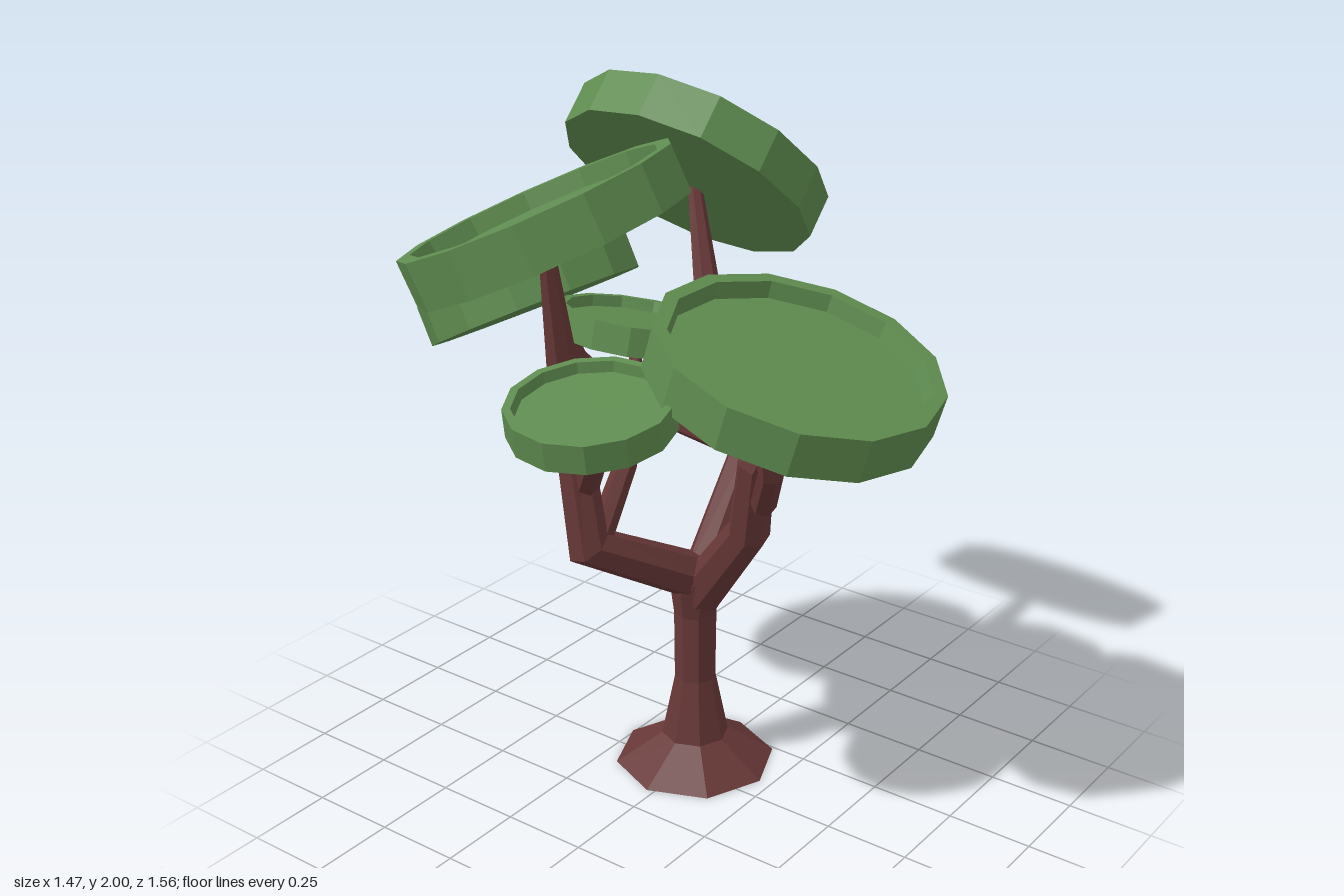
import * as THREE from 'three';

const bark = new THREE.MeshStandardMaterial({ color: 0x673837, flatShading: true });
const leaf = new THREE.MeshStandardMaterial({ color: 0x5f8c50, flatShading: true });

// Faceted limb through stations [x, y, z, radius], capped at both ends
function limb(name, stations, sides) {
  const pts = stations.map(s => new THREE.Vector3(s[0], s[1], s[2]));
  const last = pts.length - 1;
  const up = new THREE.Vector3(0, 1, 0);
  const pos = [], idx = [];
  pts.forEach((p, i) => {
    const dir = new THREE.Vector3();
    if (i > 0) dir.add(p.clone().sub(pts[i - 1]).normalize());
    if (i < last) dir.add(pts[i + 1].clone().sub(p).normalize());
    const turn = new THREE.Quaternion().setFromUnitVectors(up, dir.normalize());
    for (let j = 0; j < sides; j++) {
      const a = (j / sides) * Math.PI * 2;
      const r = stations[i][3];
      const v = new THREE.Vector3(Math.cos(a) * r, 0, Math.sin(a) * r);
      pos.push(...v.applyQuaternion(turn).add(p).toArray());
    }
  });
  pos.push(...pts[0].toArray(), ...pts[last].toArray());
  const foot = pts.length * sides, tip = foot + 1;
  for (let j = 0; j < sides; j++) {
    const k = (j + 1) % sides;
    for (let i = 0; i < last; i++) {
      const a = i * sides + j, b = i * sides + k;
      idx.push(a, a + sides, b, b, a + sides, b + sides);
    }
    idx.push(foot, j, k, tip, last * sides + k, last * sides + j);
  }
  const geo = new THREE.BufferGeometry();
  geo.setAttribute('position', new THREE.Float32BufferAttribute(pos, 3));
  geo.setIndex(idx);
  geo.computeVertexNormals();
  const mesh = new THREE.Mesh(geo, bark);
  mesh.name = name;
  return mesh;
}

// Shallow dish of foliage with a raised rim, tilted to face along the normal
function canopy(name, center, normal, r, thick) {
  const h = thick / 2, rim = r * 0.9;
  const profile = [
    [0, -h], [r, -h], [r, h], [rim, h], [rim * 0.975, h - thick * 0.38], [0, h - thick * 0.38],
  ].map(p => new THREE.Vector2(...p));
  const mesh = new THREE.Mesh(new THREE.LatheGeometry(profile, 13), leaf);
  mesh.name = name;
  mesh.position.set(...center);
  mesh.quaternion.setFromUnitVectors(new THREE.Vector3(0, 1, 0), new THREE.Vector3(...normal).normalize());
  return mesh;
}

export function createModel() {
  const tree = new THREE.Group();
  tree.name = 'tree';

  // Trunk with flared root
  tree.add(limb('trunk', [
    [0.075, 0, -0.022, 0.235], [0.075, 0.09, -0.022, 0.098], [0.075, 0.28, -0.022, 0.06],
    [0.075, 0.49, -0.022, 0.062], [0.07, 0.62, -0.01, 0.085],
  ], 8));

  // Three main boughs
  tree.add(limb('rightBough', [
    [0.08, 0.56, -0.01, 0.07], [0.31, 0.97, 0.02, 0.065], [0.305, 1.28, -0.14, 0.046], [0.4, 1.66, -0.27, 0.02],
  ], 7));
  tree.add(limb('leftBough', [
    [0.08, 0.6, -0.01, 0.07], [-0.25, 0.79, -0.15, 0.065], [-0.26, 1.25, -0.21, 0.048], [-0.335, 1.68, -0.2, 0.02],
  ], 7));
  tree.add(limb('frontBough', [
    [0.075, 0.56, 0, 0.07], [0.02, 0.83, 0.2, 0.06], [-0.025, 1.06, 0.25, 0.052], [0, 1.34, 0.39, 0.022],
  ], 7));

  // Side branches
  tree.add(limb('frontBranch', [
    [-0.03, 0.95, 0.28, 0.036], [-0.13, 1.1, 0.37, 0.034], [-0.17, 1.19, 0.385, 0.027], [-0.12, 1.32, 0.385, 0.013],
  ], 6));
  tree.add(limb('backBranch', [
    [0.3, 0.93, -0.04, 0.04], [0.18, 1.04, -0.38, 0.035], [0.06, 1.19, -0.43, 0.026], [-0.03, 1.4, -0.43, 0.012],
  ], 6));
  tree.add(limb('leftBranch', [
    [-0.26, 0.98, -0.14, 0.035], [-0.36, 1.17, -0.01, 0.034], [-0.42, 1.24, 0.03, 0.025], [-0.49, 1.29, 0.06, 0.012],
  ], 6));
  tree.add(limb('innerBranch', [
    [-0.22, 0.79, -0.14, 0.038], [-0.13, 1.0, -0.11, 0.032], [-0.03, 1.17, -0.14, 0.026], [0, 1.33, -0.18, 0.012],
  ], 6));

  // Foliage dishes
  tree.add(canopy('rightCanopy', [0.415, 1.695, -0.275], [0.69, 0.73, 0], 0.383, 0.13));
  tree.add(canopy('leftCanopy', [-0.35, 1.725, -0.185], [-0.12, 0.9, -0.4], 0.383, 0.13));
  tree.add(canopy('frontCanopy', [-0.06, 1.365, 0.39], [0, 0.955, 0.29], 0.388, 0.125));
  tree.add(canopy('backCanopy', [-0.07, 1.42, -0.49], [0.03, 0.88, -0.47], 0.312, 0.115));
  tree.add(canopy('lowerLeftCanopy', [-0.49, 1.315, 0.07], [-0.16, 0.97, 0.03], 0.22, 0.08));
  tree.add(canopy('innerCanopy', [0, 1.35, -0.18], [0.2, 0.97, 0.04], 0.212, 0.08));
  return tree;
}
